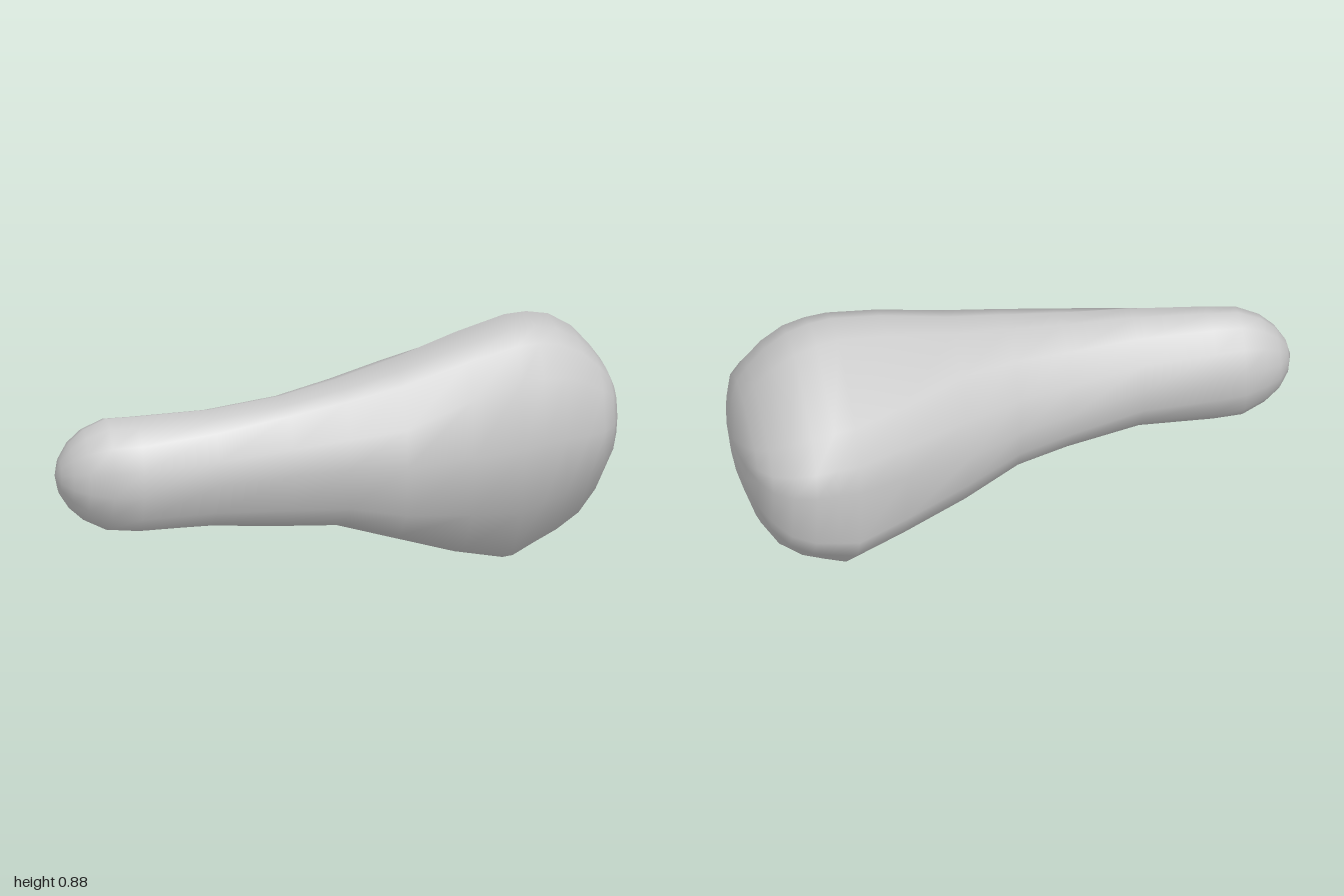
import * as THREE from 'three';
import { mergeVertices } from 'three/addons/utils/BufferGeometryUtils.js';

// Cross-sections along x: [x, top y, bottom y, front z, back z]
const SECTIONS = [
  [-1, 0.47, 0.47, 0.235, 0.235],
  [-0.985, 0.53, 0.405, 0.285, 0.185],
  [-0.95, 0.585, 0.35, 0.33, 0.14],
  [-0.9, 0.63, 0.305, 0.36, 0.115],
  [-0.82, 0.665, 0.265, 0.39, 0.09],
  [-0.72, 0.668, 0.257, 0.41, 0.086],
  [-0.46, 0.68, 0.262, 0.432, 0.077],
  [-0.2, 0.705, 0.235, 0.435, 0.01],
  [0, 0.74, 0.213, 0.433, -0.07],
  [0.2, 0.782, 0.14, 0.427, -0.177],
  [0.44, 0.848, 0.05, 0.4, -0.307],
  [0.62, 0.885, 0, 0.375, -0.4],
  [0.7, 0.885, 0.04, 0.36, -0.425],
  [0.78, 0.868, 0.08, 0.345, -0.44],
  [0.86, 0.82, 0.14, 0.32, -0.415],
  [0.92, 0.755, 0.23, 0.295, -0.365],
  [0.96, 0.7, 0.335, 0.26, -0.3],
  [0.985, 0.645, 0.41, 0.18, -0.2],
  [1, 0.58, 0.49, 0.05, -0.06],
  [1, 0.54, 0.54, 0, 0],
];

// Unit outlines [z, y], from the top round by the front
const SIDES = 14;
const TIP = Array.from({ length: SIDES }, (_, j) => {
  const a = (j / SIDES) * Math.PI * 2;
  return [Math.sin(a) * 1.025, Math.cos(a)];
});
const MIDDLE = [
  [0, 1], [0.4, 0.97], [0.68, 0.88], [0.97, 0.45], [1, 0.05], [0.95, -0.5], [0.56, -0.82],
  [0, -1], [-0.4, -0.92], [-0.77, -0.65], [-0.94, -0.37], [-1, 0], [-0.9, 0.45], [-0.55, 0.84],
];
const HEAD = [
  [0.08, 1], [0.46, 0.98], [0.69, 0.9], [0.91, 0.66], [1, 0.13], [0.9, -0.4], [0.46, -0.86],
  [0, -1], [-0.28, -0.88], [-0.82, -0.5], [-0.95, -0.3], [-1, 0.2], [-0.95, 0.42], [-0.76, 0.67],
];

// Outline at x: round tip, then squared-front middle, then faceted head
function outlinePoint(x, j) {
  const toMiddle = THREE.MathUtils.smoothstep(x, -0.9, -0.1);
  const toHead = THREE.MathUtils.smoothstep(x, 0.1, 0.6);
  return [0, 1].map((k) => {
    const handle = THREE.MathUtils.lerp(TIP[j][k], MIDDLE[j][k], toMiddle);
    return THREE.MathUtils.lerp(handle, HEAD[j][k], toHead);
  });
}

function loft(sections) {
  const positions = [];
  const index = [];
  sections.forEach(([x, top, bottom, front, back], i) => {
    for (let j = 0; j < SIDES; j++) {
      const [u, v] = outlinePoint(x, j);
      positions.push(
        x,
        (top + bottom) / 2 + v * (top - bottom) / 2,
        (front + back) / 2 + u * (front - back) / 2,
      );
      if (i < sections.length - 1) {
        const p = i * SIDES + j;
        const q = i * SIDES + (j + 1) % SIDES;
        // The end rings collapse to a point, so skip their empty triangles
        if (i > 0) index.push(p, q, p + SIDES);
        if (i < sections.length - 2) index.push(q, q + SIDES, p + SIDES);
      }
    }
  });
  let geometry = new THREE.BufferGeometry();
  geometry.setAttribute('position', new THREE.Float32BufferAttribute(positions, 3));
  geometry.setIndex(index);
  geometry = mergeVertices(geometry, 1e-5);
  geometry.computeVertexNormals();
  return geometry;
}

export function createModel() {
  const group = new THREE.Group();
  group.name = 'club';

  // One smooth body: slim rounded handle swelling into a broad head
  const body = new THREE.Mesh(loft(SECTIONS), new THREE.MeshStandardMaterial({ color: 0xcccccc }));
  body.name = 'clubBody';
  group.add(body);
  return group;
}
